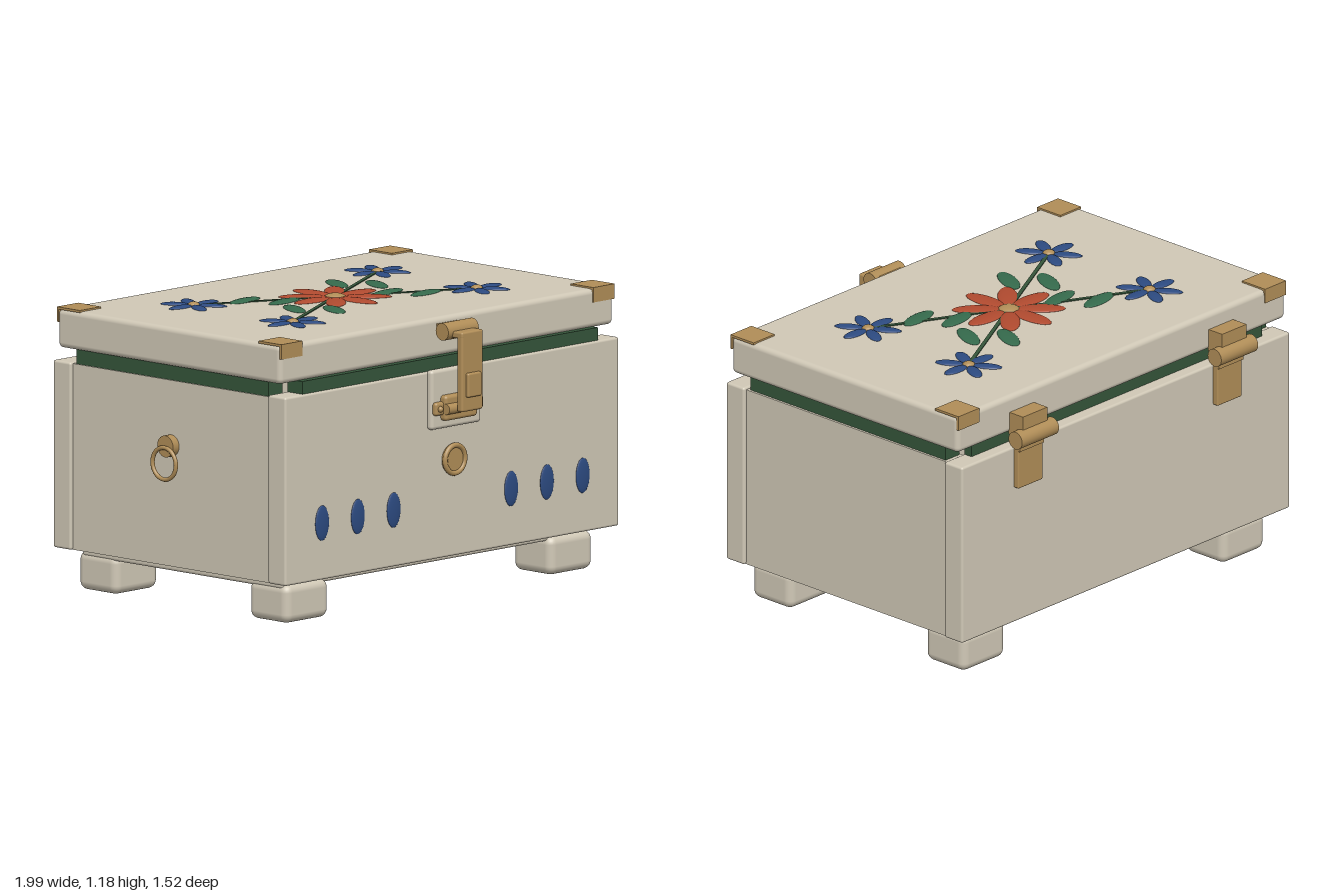
import * as THREE from 'three';
import { RoundedBoxGeometry } from 'three/addons/geometries/RoundedBoxGeometry.js';

const material = (name, color) => Object.assign(new THREE.MeshStandardMaterial({ color }), { name });

export function createModel() {
  const cream = material('cream paint', 0xd0c8b6);
  const brass = material('brass', 0xb08d57);
  const red = material('red petals', 0xb04a2f);
  const blue = material('blue petals', 0x2c4a80);
  const leafGreen = material('leaf green', 0x356a4c);
  const darkGreen = material('dark green', 0x35553a);

  const chest = new THREE.Group();
  chest.name = 'chest';
  const cx = 0.015; // the box sits a little to the left of centre, because of the side ring

  const add = (name, geometry, mat, x, y, z, parent = chest) => {
    const mesh = new THREE.Mesh(geometry, mat);
    mesh.name = name;
    mesh.position.set(x, y, z);
    parent.add(mesh);
    return mesh;
  };

  // Box given by its limits, with optional rounded edges
  const block = (name, mat, x0, x1, y0, y1, z0, z1, r = 0, parent = chest) => {
    const size = [x1 - x0, y1 - y0, z1 - z0];
    const geometry = r ? new RoundedBoxGeometry(...size, 3, r) : new THREE.BoxGeometry(...size);
    return add(name, geometry, mat, (x0 + x1) / 2, (y0 + y1) / 2, (z0 + z1) / 2, parent);
  };

  const rodX = (name, r, length, x, y, z, parent = chest) =>
    add(name, new THREE.CylinderGeometry(r, r, length, 28).rotateZ(Math.PI / 2), brass, x, y, z, parent);

  // Body boards, base and feet
  block('frontBoard', cream, -0.965, 0.995, 0.175, 0.955, 0.535, 0.635, 0.01);
  block('backBoard', cream, -0.965, 0.995, 0.175, 0.95, -0.68, -0.58, 0.01);
  for (const s of [-1, 1]) {
    const x = cx + s * 0.915;
    block('sideBoard', cream, x - 0.05, x + 0.05, 0.175, 0.945, -0.59, 0.545);
  }
  block('basePlate', cream, -0.885, 0.91, 0.14, 0.19, -0.59, 0.54, 0.012);
  for (const x of [-0.89, 0.66])
    for (const z of [-0.615, 0.35])
      block('foot', cream, x, x + 0.255, 0, 0.16, z, z + 0.22, 0.035);

  // Green strips between body and lid, open at the corners
  block('frontStrip', darkGreen, -0.855, 0.88, 0.94, 1.008, 0.54, 0.625);
  block('backStrip', darkGreen, -0.855, 0.88, 0.94, 1.008, -0.625, -0.585);
  block('rightStrip', darkGreen, -0.945, -0.862, 0.94, 1.008, -0.565, 0.52);
  block('leftStrip', darkGreen, 0.887, 0.97, 0.94, 1.008, -0.565, 0.52);

  // Lid with brass corner brackets
  block('lid', cream, -0.965, 0.995, 1.005, 1.165, -0.655, 0.605, 0.022);
  for (const x of [-0.962, 0.87]) {
    block('cornerTop', brass, x, x + 0.125, 1.162, 1.172, 0.48, 0.609);
    block('cornerFront', brass, x, x + 0.125, 1.11, 1.172, 0.6, 0.609);
    block('cornerTop', brass, x, x + 0.125, 1.162, 1.172, -0.66, -0.53);
    block('cornerBack', brass, x, x + 0.125, 1.11, 1.172, -0.66, -0.65);
  }

  // Painted flowers on the lid
  const top = 1.165;
  const oval = (name, mat, x, z, halfLength, halfWidth, angle, thick, parent = chest) => {
    const mesh = add(name, new THREE.SphereGeometry(1, 24, 12), mat, x, top, z, parent);
    mesh.scale.set(halfLength, thick, halfWidth);
    mesh.rotation.y = angle;
    return mesh;
  };
  const flower = (name, mat, x, z, count, radius, halfWidth, heart) => {
    const group = new THREE.Group();
    group.name = name;
    chest.add(group);
    const inner = heart * 0.6;
    const mid = (radius + inner) / 2;
    for (let i = 0; i < count; i++) {
      const a = (i / count) * Math.PI * 2;
      oval('petal', mat, x + Math.cos(a) * mid, z - Math.sin(a) * mid, (radius - inner) / 2, halfWidth, a, 0.01, group);
    }
    oval('flowerHeart', brass, x, z, heart, heart, 0, 0.016, group);
  };
  const fz = -0.027;
  for (const sx of [-1, 1])
    for (const sz of [-1, 1]) {
      const dx = sx * 0.54, dz = sz * 0.28;
      const stem = add('stem', new THREE.BoxGeometry(Math.hypot(dx, dz), 0.008, 0.016), darkGreen,
        cx + dx / 2, top, fz + dz / 2);
      stem.rotation.y = Math.atan2(-dz, dx);
      flower('blueFlower', blue, cx + dx, fz + dz, 6, 0.14, 0.027, 0.026);
    }
  flower('redFlower', red, cx, fz, 8, 0.232, 0.042, 0.044);
  const flat = 0.15, steep = 1.09;
  for (const [x, z, a] of [
    [-0.305, -0.23, flat], [-0.21, -0.1, flat], [0.24, 0.053, flat], [0.337, 0.176, flat],
    [0.235, -0.23, steep], [0.338, -0.103, steep], [-0.305, 0.05, steep], [-0.203, 0.177, steep],
  ]) oval('leaf', leafGreen, x, z, 0.095, 0.037, a, 0.009);

  // Blue ovals on the front
  for (const x of [-0.75, -0.54, -0.33, 0.36, 0.57, 0.78])
    add('frontOval', new THREE.SphereGeometry(1, 24, 12), blue, x, 0.41, 0.635).scale.set(0.04, 0.073, 0.009);

  // Round boss under the latch
  add('bossDisc', new THREE.CylinderGeometry(0.062, 0.062, 0.02, 32).rotateX(Math.PI / 2), brass, cx, 0.578, 0.641);
  add('bossRim', new THREE.TorusGeometry(0.058, 0.011, 10, 36), brass, cx, 0.578, 0.65);

  // Front latch
  const latch = new THREE.Group();
  latch.name = 'latch';
  chest.add(latch);
  block('latchBacking', cream, -0.132, 0.162, 0.715, 0.962, 0.625, 0.66, 0.015, latch);
  block('catchBar', brass, -0.125, 0.157, 0.775, 0.83, 0.65, 0.678, 0.012, latch);
  block('catchBlock', brass, -0.08, 0.11, 0.75, 0.855, 0.65, 0.69, 0.014, latch);
  rodX('catchRod', 0.022, 0.19, cx, 0.8, 0.69, latch);
  for (const s of [-1, 1])
    add('screw', new THREE.SphereGeometry(0.013, 14, 8), brass, cx + s * 0.115, 0.802, 0.678, latch);
  block('strap', brass, -0.047, 0.078, 0.79, 1.115, 0.717, 0.75, 0.01, latch);
  block('strapGrip', brass, -0.025, 0.056, 0.85, 0.95, 0.74, 0.765, 0.008, latch);
  block('strapLink', brass, -0.047, 0.078, 1.093, 1.12, 0.66, 0.75, 0.008, latch);
  rodX('latchKnuckle', 0.036, 0.178, cx, 1.117, 0.663, latch);
  block('latchMount', brass, -0.047, 0.078, 1.095, 1.14, 0.6, 0.66, 0, latch);

  // Back hinges
  for (const x of [-0.578, 0.612]) {
    const hinge = new THREE.Group();
    hinge.name = 'hinge';
    chest.add(hinge);
    block('upperLeaf', brass, x - 0.073, x + 0.073, 1.0, 1.095, -0.73, -0.65, 0, hinge);
    rodX('hingeKnuckle', 0.038, 0.22, x, 1.0, -0.722, hinge);
    block('hingeLink', brass, x - 0.073, x + 0.073, 0.935, 1.0, -0.712, -0.688, 0, hinge);
    block('lowerLeaf', brass, x - 0.073, x + 0.073, 0.77, 0.945, -0.705, -0.675, 0.006, hinge);
  }

  // Pull ring on the right side
  add('ringBoss', new THREE.CylinderGeometry(0.045, 0.045, 0.04, 28).rotateZ(Math.PI / 2), brass, -0.965, 0.675, -0.025);
  add('pullRing', new THREE.TorusGeometry(0.066, 0.009, 10, 36).rotateY(Math.PI / 2), brass, -0.991, 0.605, -0.025);

  return chest;
}
